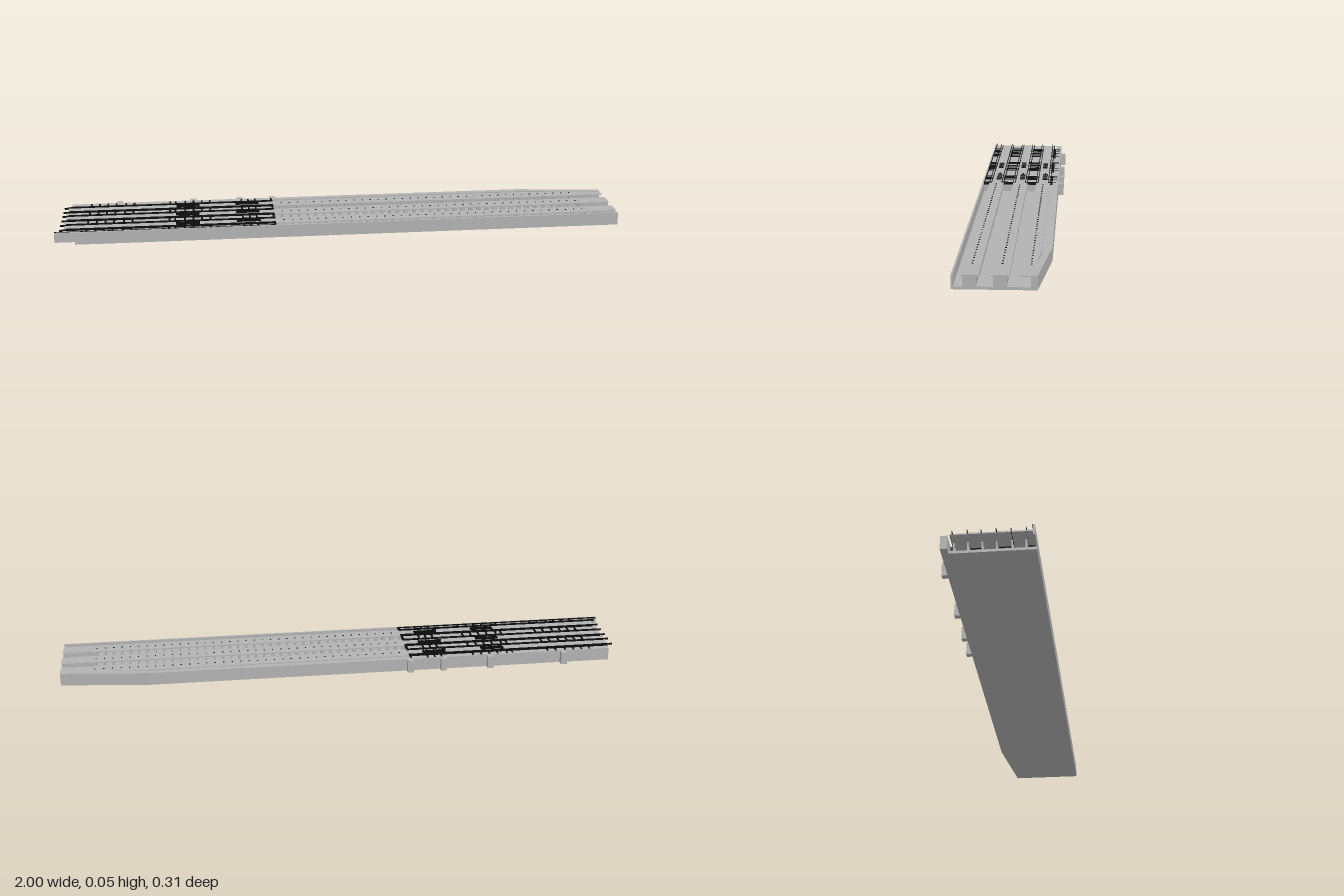
import * as THREE from 'three';
import { mergeGeometries } from 'three/addons/utils/BufferGeometryUtils.js';

const concrete = new THREE.MeshStandardMaterial({ color: 0xb2b2b2 });
concrete.name = 'concrete grey';
const steel = new THREE.MeshStandardMaterial({ color: 0x0a0a0a });
steel.name = 'black steel';

// Box given by its limits on each axis
function block(x0, x1, y0, y1, z0, z1) {
  return new THREE.BoxGeometry(x1 - x0, y1 - y0, z1 - z0)
    .translate((x0 + x1) / 2, (y0 + y1) / 2, (z0 + z1) / 2);
}

// Horizontal slab from a plan outline of [x, z] points
function slab(points, y0, y1) {
  const shape = new THREE.Shape(points.map(([x, z]) => new THREE.Vector2(x, z)));
  return new THREE.ExtrudeGeometry(shape, { depth: y1 - y0, bevelEnabled: false })
    .rotateX(Math.PI / 2).translate(0, y1, 0);
}

export function createModel() {
  const model = new THREE.Group();
  model.name = 'trackPitPlatform';
  const add = (name, material, geometries) => {
    const geometry = geometries.length > 1 ? mergeGeometries(geometries) : geometries[0];
    const mesh = new THREE.Mesh(geometry, material);
    mesh.name = name;
    model.add(mesh);
  };

  const TOP = 0.045, FLOOR = 0.009;
  const islands = [0.1, 0.01, -0.077];

  // Floor with one tapered corner
  add('floor', concrete, [slab([[-0.93, 0.153], [1, 0.153], [1, -0.098], [0.69, -0.133], [-0.93, -0.133]], 0, FLOOR)]);

  // Outer walls
  add('frontWall', concrete, [
    block(-0.93, 1, 0, TOP, 0.148, 0.154),
    block(-1, -0.93, 0.01, TOP, 0.148, 0.154),
  ]);
  add('backWall', concrete, [slab([[-0.96, -0.135], [0.69, -0.135], [1, -0.1], [1, -0.08], [0.69, -0.113], [-0.96, -0.113]], 0, TOP)]);

  // Buttresses behind the back wall
  add('buttresses', concrete, [-0.79, -0.52, -0.35, -0.23].map(x => block(x - 0.011, x + 0.011, 0, TOP, -0.154, -0.134)));

  // Three raised track decks on rows of columns
  const decks = [], columns = [], studs = [], hatches = [];
  islands.forEach((z, i) => {
    const back = z - 0.027, front = z + 0.027;
    decks.push(i < 2
      ? block(-0.97, 1, 0.04, TOP - 0.001, back, front).toNonIndexed()
      : slab([[-0.97, back], [0.7, back], [1, -0.085], [1, front], [-0.97, front]], 0.04, TOP - 0.001));
    for (let x = -0.92; x < 0.9; x += 0.03) {
      for (const side of [-1, 1]) {
        const c = z + side * 0.0215;
        columns.push(block(x - 0.004, x + 0.004, FLOOR, 0.04, c - 0.002, c + 0.002));
      }
      if (x > -0.22) {
        studs.push(new THREE.CylinderGeometry(0.0025, 0.0025, 0.002, 6).translate(x, TOP, z));
      }
    }
    hatches.push(block(0.48, 0.525, TOP - 0.002, TOP, z - 0.012, z + 0.012));
  });
  add('trackDecks', concrete, decks);
  add('deckColumns', concrete, columns);
  add('deckStuds', steel, studs);
  add('deckHatches', concrete, hatches);

  // Solid ends of the two straight decks
  add('deckEndBlocks', concrete, islands.slice(0, 2).map(z => block(0.89, 1, 0, TOP, z - 0.02, z + 0.02)));

  // Bridged section: walkways over the channels, closed by bulkheads
  const channels = [[0.127, 0.148], [0.037, 0.073], [-0.05, -0.017]];
  add('walkways', concrete, channels.map(([a, b]) => block(-0.975, -0.235, 0.037, 0.042, a, b)));
  add('bulkheads', concrete, channels.map(([a, b]) => block(-0.243, -0.237, FLOOR, 0.037, a, b)));

  // Black cross beams, broken at the middle of each deck
  const beamX = [-0.89, -0.86, -0.83, -0.8, -0.765, -0.735, -0.605, -0.585, -0.55,
    -0.52, -0.49, -0.46, -0.345, -0.32, -0.295, -0.235];
  const spans = [[0.118, 0.15], [0.028, 0.082], [-0.059, -0.008], [-0.13, -0.095]];
  add('crossBeams', steel, beamX.flatMap(x =>
    spans.map(([a, b]) => block(x - 0.003, x + 0.003, 0.036, 0.0455, a, b))));

  // Black long rails with uneven free ends
  const rails = [block(-0.999, -0.23, 0.041, 0.0465, 0.146, 0.148)];
  islands.forEach(z => {
    [-0.027, -0.019, 0.019, 0.027].forEach((dz, k) => {
      const c = z + dz;
      rails.push(block(k % 2 ? -0.985 : -0.965, -0.23, 0.04, 0.047, c - 0.001, c + 0.001));
    });
  });
  add('longRails', steel, rails);

  // Black roller units standing on the decks, each with one upright stop
  const units = [], rollers = [], stops = [];
  islands.forEach(z => {
    for (const [x, dz, stopX] of [[-0.54, 0, -0.51], [-0.325, -0.005, -0.36]]) {
      const c = z + dz;
      units.push(block(x - 0.042, x + 0.042, 0.044, 0.047, c - 0.009, c + 0.009));
      for (let k = -3; k <= 3; k++) {
        rollers.push(new THREE.CylinderGeometry(0.0025, 0.0025, 0.018, 8)
          .rotateX(Math.PI / 2).translate(x + k * 0.012, 0.0475, c));
      }
      stops.push(block(stopX - 0.008, stopX + 0.008, 0.047, 0.053, c - 0.002, c + 0.002));
    }
  });
  add('rollerBeds', steel, units);
  add('rollers', steel, rollers);
  add('rollerStops', steel, stops);

  return model;
}
